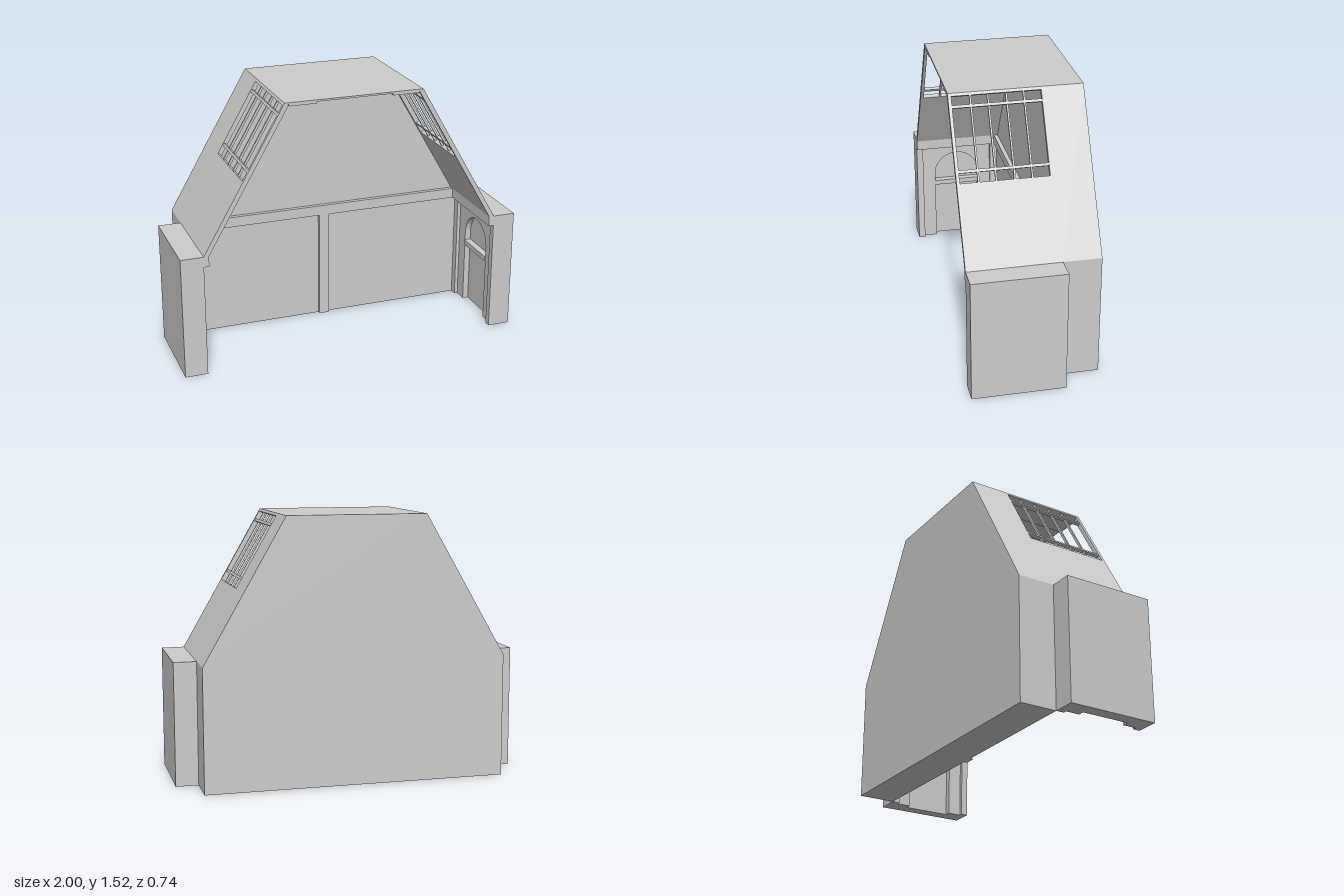
import * as THREE from 'three';

export function createModel() {
  const model = new THREE.Group();
  const material = new THREE.MeshStandardMaterial({ color: 0xcccccc, flatShading: true });
  const FRONT = 0.37, WALL = -0.155, EAVES = 0.71, RIDGE = 1.525;

  const add = (name, geometry) => {
    const mesh = new THREE.Mesh(geometry, material);
    mesh.name = name;
    model.add(mesh);
  };

  // Box given by its limits on each axis
  const box = (x0, x1, y0, y1, z0, z1) =>
    new THREE.BoxGeometry(x1 - x0, y1 - y0, z1 - z0)
      .translate((x0 + x1) / 2, (y0 + y1) / 2, (z0 + z1) / 2);

  const outline = points => new THREE.Shape(points.map(p => new THREE.Vector2(...p)));
  const extrude = (shape, depth) =>
    new THREE.ExtrudeGeometry(shape, { depth, bevelEnabled: false, curveSegments: 12 });

  // Mirror across x = 0, swapping two corners of each triangle
  const mirror = geometry => {
    const g = geometry.index ? geometry.toNonIndexed() : geometry.clone();
    g.scale(-1, 1, 1);
    const p = g.attributes.position;
    const a = new THREE.Vector3(), b = new THREE.Vector3();
    for (let i = 0; i < p.count; i += 3) {
      a.fromBufferAttribute(p, i + 1);
      b.fromBufferAttribute(p, i + 2);
      p.setXYZ(i + 1, b.x, b.y, b.z);
      p.setXYZ(i + 2, a.x, a.y, a.z);
    }
    g.computeVertexNormals();
    return g;
  };
  const addPair = (name, geometry) => {
    add('left' + name, geometry);
    add('right' + name, mirror(geometry));
  };

  // Solid gabled back wall with its beam and centre post
  add('backWall', extrude(outline([
    [-0.87, 0], [0.87, 0], [0.87, EAVES], [0.4, RIDGE], [-0.4, RIDGE], [-0.87, EAVES],
  ]), FRONT + WALL).translate(0, 0, -FRONT));
  add('backBeam', box(-0.84, 0.84, 0.65, EAVES, WALL, -0.13));
  add('centrePost', box(-0.03, 0.03, 0, 0.65, WALL, -0.135));

  // Flat roof top, slightly thicker near its sides
  add('roofTop', extrude(outline([
    [-0.394, 1.515], [0.394, 1.515], [0.4, RIDGE], [-0.4, RIDGE],
  ]), FRONT - WALL).translate(0, 0, WALL));
  addPair('CeilingStrip', box(0.22, 0.375, 1.505, 1.515, WALL, FRONT));

  // Side walls: outer slab, posts and beam
  addPair('SideWall', box(0.925, 1, 0, EAVES, WALL, FRONT));
  addPair('SideBeam', box(0.84, 0.925, 0.65, EAVES, WALL, FRONT));
  addPair('FrontPost', box(0.87, 0.925, 0, 0.65, 0.33, FRONT));
  addPair('BackPost', box(0.87, 0.925, 0, 0.65, WALL, -0.11));

  // Panel with an arched niche open to the floor, crossed by a shelf
  const arch = new THREE.Shape();
  arch.moveTo(-0.11, 0);
  arch.lineTo(-0.03, 0);
  arch.lineTo(-0.03, 0.45);
  arch.absarc(0.11, 0.45, 0.14, Math.PI, 0, true);
  arch.lineTo(0.25, 0);
  arch.lineTo(0.33, 0);
  arch.lineTo(0.33, 0.65);
  arch.lineTo(-0.11, 0.65);
  arch.closePath();
  addPair('ArchPanel', extrude(arch, 0.035).rotateY(-Math.PI / 2).translate(0.925, 0, 0));
  addPair('NicheShelf', box(0.885, 0.925, 0.37, 0.4, -0.03, 0.25));

  // Slope frame: x runs up the roof, y runs along z, z points outward
  const slope = new THREE.Vector2(-0.47, RIDGE - EAVES);
  const length = slope.length();
  const up = new THREE.Vector3(slope.x / length, slope.y / length, 0);
  const along = new THREE.Vector3(0, 0, 1);
  const outward = new THREE.Vector3().crossVectors(up, along);
  const toSlope = new THREE.Matrix4().makeBasis(up, along, outward).setPosition(0.87, EAVES, 0);
  const onSlope = geometry => geometry.applyMatrix4(toSlope);

  // Sloped roof panels with a barred window
  const T = 0.026, U0 = 0.462, U1 = 0.924, Z0 = -0.135, Z1 = 0.352;
  const panel = outline([[0, WALL], [length, WALL], [length, FRONT], [0, FRONT]]);
  panel.holes.push(outline([[U0, Z0], [U0, Z1], [U1, Z1], [U1, Z0]]));
  addPair('RoofSlope', onSlope(extrude(panel, T).translate(0, 0, -T)));
  for (const z of [-0.04, 0.055, 0.155, 0.25])
    addPair('WindowBar', onSlope(box(U0, U1, z - 0.005, z + 0.005, -0.02, -0.006)));
  for (const u of [0.524, 0.868])
    addPair('WindowRail', onSlope(box(u - 0.008, u + 0.008, Z0, Z1, -0.022, -0.002)));

  return model;
}
